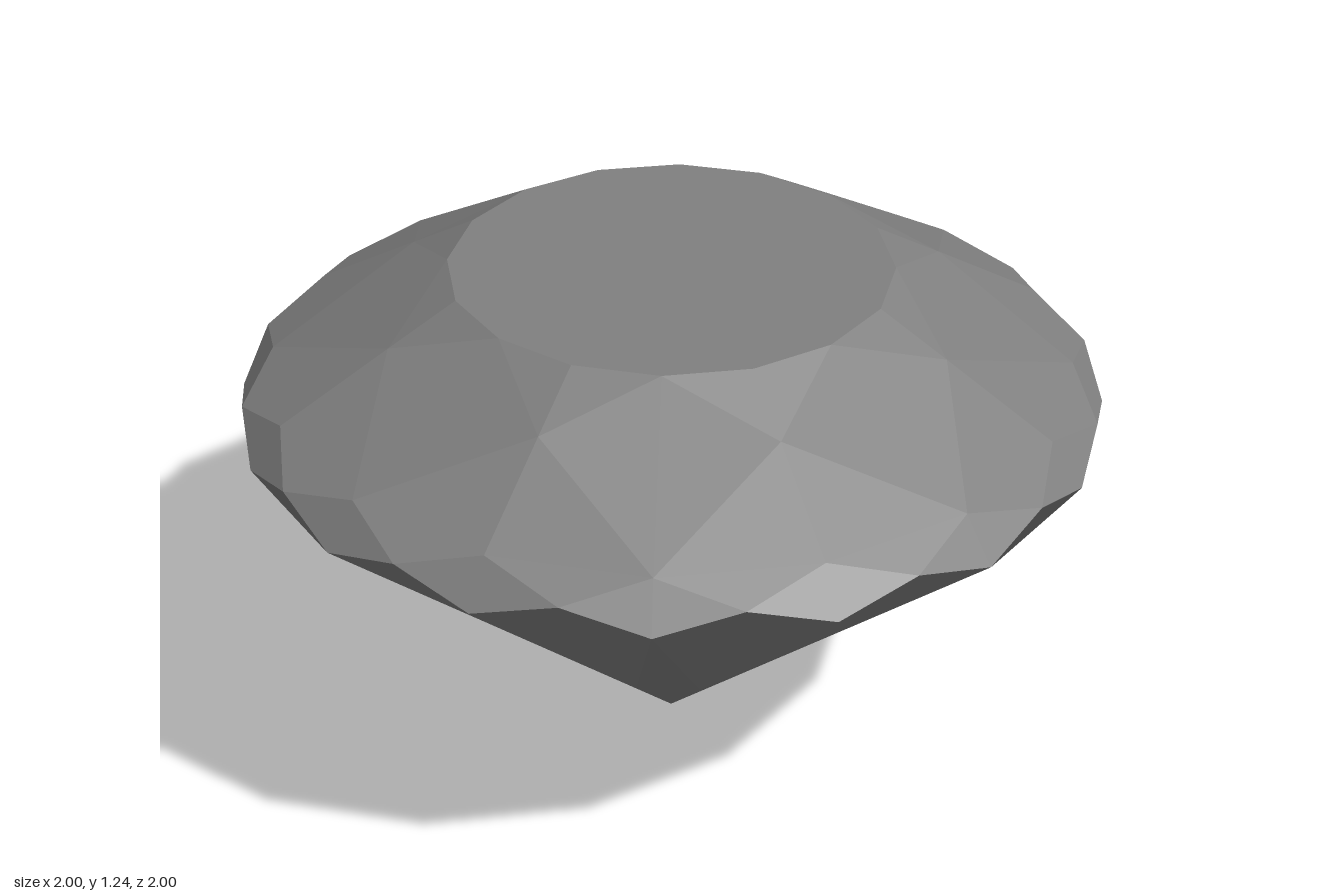
import * as THREE from 'three';

const STEP = Math.PI / 8; // sixteen-fold symmetry
// point at k sixteenths of a turn, radius r, height y
const ringPoint = (r, y) => (k) =>
  new THREE.Vector3(r * Math.sin(k * STEP), y, r * Math.cos(k * STEP));

const tablePt = ringPoint(0.51, 1.238);
const starPt = ringPoint(0.67, 1.147);
const upperPt = ringPoint(0.925, 1.0);
const midPt = ringPoint(0.989, 0.952);
const lowerPt = ringPoint(1.0, 0.9);
const pavilionPt = ringPoint(0.2, 0.18);
const culet = new THREE.Vector3(0, 0, 0);
const centre = new THREE.Vector3(0, 0.85, 0);

// Turns a list of polygon facets into one mesh; each facet gets a single flat normal facing outwards.
function facetMesh(name, facets, material) {
  const positions = [], normals = [];
  for (let pts of facets) {
    const sum = new THREE.Vector3(), mid = new THREE.Vector3();
    for (let i = 0; i < pts.length; i++) {
      sum.add(new THREE.Vector3().crossVectors(pts[i], pts[(i + 1) % pts.length]));
      mid.addScaledVector(pts[i], 1 / pts.length);
    }
    if (sum.dot(mid.sub(centre)) < 0) {
      pts = [pts[0], ...pts.slice(1).reverse()];
      sum.negate();
    }
    sum.normalize();
    for (let i = 1; i < pts.length - 1; i++) {
      for (const p of [pts[0], pts[i], pts[i + 1]]) {
        positions.push(p.x, p.y, p.z);
        normals.push(sum.x, sum.y, sum.z);
      }
    }
  }
  const geometry = new THREE.BufferGeometry();
  geometry.setAttribute('position', new THREE.Float32BufferAttribute(positions, 3));
  geometry.setAttribute('normal', new THREE.Float32BufferAttribute(normals, 3));
  const mesh = new THREE.Mesh(geometry, material);
  mesh.name = name;
  return mesh;
}

export function createModel() {
  const group = new THREE.Group();
  group.name = 'cutGem';
  const material = new THREE.MeshStandardMaterial({ color: 0x808080 });
  const table = [[]], crown = [], girdle = [], pavilion = [];

  for (let k = 0; k < 16; k++) {
    table[0].push(tablePt(k));
    // rhombus facets around the rim
    girdle.push([lowerPt(k), midPt(k + 0.5), upperPt(k), midPt(k - 0.5)]);
  }

  for (let k = 0; k < 16; k += 2) {
    // kite-shaped main facets above and below the rim
    crown.push([tablePt(k), starPt(k - 1), upperPt(k), starPt(k + 1)]);
    pavilion.push([culet, pavilionPt(k - 1), lowerPt(k), pavilionPt(k + 1)]);
    // star and half facets, mirrored on both sides of each kite
    for (const s of [-1, 1]) {
      crown.push([tablePt(k), tablePt(k + s), starPt(k + s)]);
      crown.push([upperPt(k), midPt(k + s / 2), upperPt(k + s), starPt(k + s)]);
      pavilion.push([lowerPt(k), midPt(k + s / 2), lowerPt(k + s), pavilionPt(k + s)]);
    }
  }

  group.add(
    facetMesh('table', table, material),
    facetMesh('crown', crown, material),
    facetMesh('girdle', girdle, material),
    facetMesh('pavilion', pavilion, material)
  );
  return group;
}
